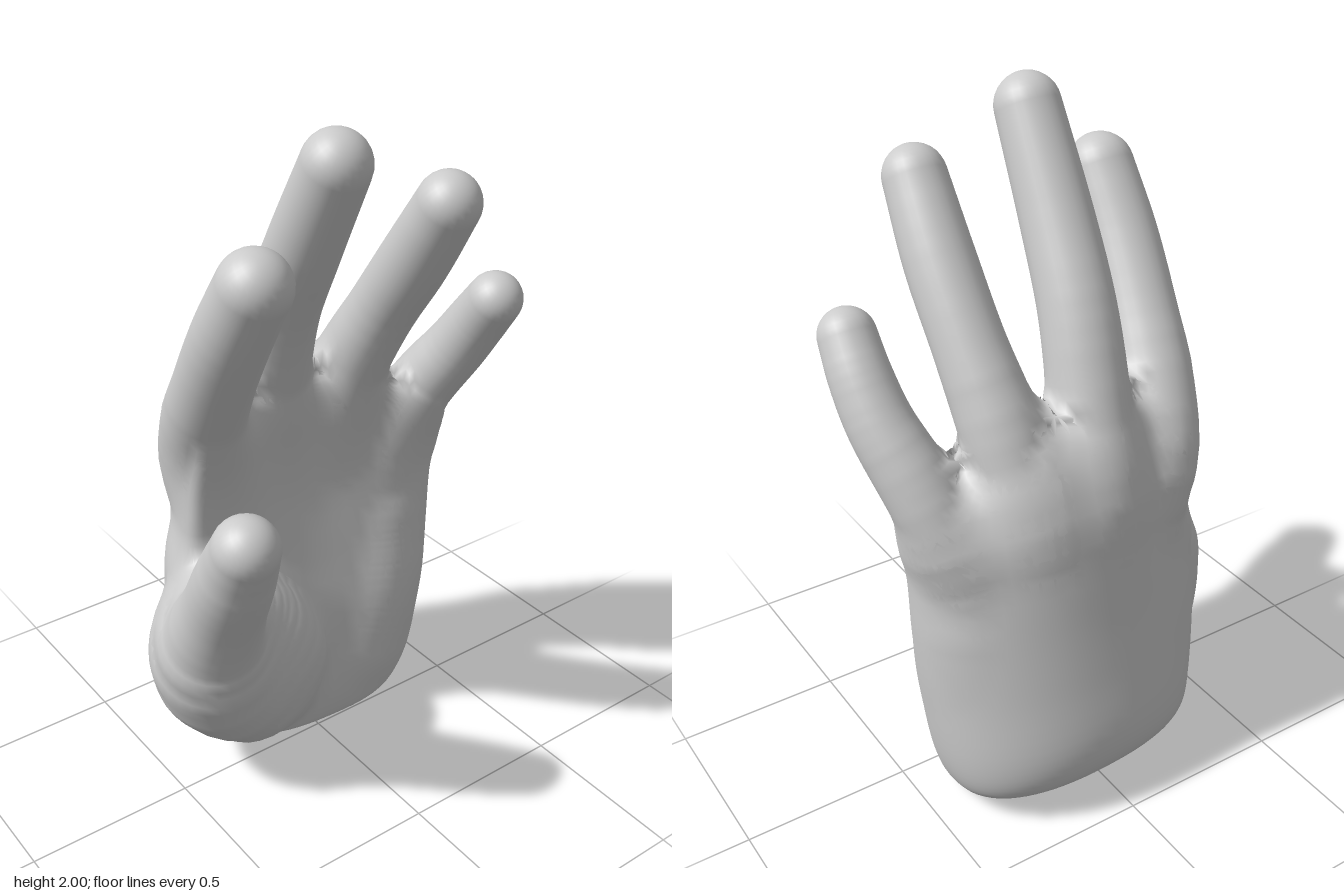
import * as THREE from 'three';

const material = new THREE.MeshStandardMaterial({ color: 0xcccccc });
const V = (x, y, z) => new THREE.Vector3(x, y, z);
const curveOf = points => new THREE.CatmullRomCurve3(points, false, 'catmullrom');

// Skin closed rings of points into one capped surface.
function loft(rings) {
  const n = rings[0].length, pos = [], index = [];
  rings.forEach(r => r.forEach(p => pos.push(p.x, p.y, p.z)));
  for (let i = 0; i < rings.length - 1; i++) {
    for (let j = 0; j < n; j++) {
      const a = i * n + j, b = i * n + (j + 1) % n;
      index.push(a, b, a + n, b, b + n, a + n);
    }
  }
  const cap = (i, end) => {
    const c = V(0, 0, 0), id = pos.length / 3;
    rings[i].forEach(p => c.addScaledVector(p, 1 / n));
    pos.push(c.x, c.y, c.z);
    for (let j = 0; j < n; j++) {
      const a = i * n + j, b = i * n + (j + 1) % n;
      if (end) index.push(id, a, b); else index.push(id, b, a);
    }
  };
  cap(0, false);
  cap(rings.length - 1, true);
  const g = new THREE.BufferGeometry();
  g.setAttribute('position', new THREE.Float32BufferAttribute(pos, 3));
  g.setIndex(index);
  return g;
}

// Tapered limb through [x, y, z, radius] points with a rounded tip:
// its surface, and its distance field for blending.
function limb(points, sides = 28, steps = 36) {
  const path = curveOf(points.map(p => V(p[0], p[1], p[2])));
  const size = curveOf(points.map(p => V(p[3], 0, 0)));
  const rings = [];
  const addRing = (t, r, push) => {
    const T = path.getTangent(t), c = path.getPoint(t).addScaledVector(T, push);
    const S = V(1, 0, 0).addScaledVector(T, -T.x).normalize(), B = V().crossVectors(T, S);
    rings.push(Array.from({ length: sides }, (_, j) => {
      const a = j / sides * Math.PI * 2;
      return c.clone().addScaledVector(S, r * Math.cos(a)).addScaledVector(B, r * Math.sin(a));
    }));
  };
  for (let i = 0; i <= steps; i++) addRing(i / steps, size.getPoint(i / steps).x, 0);
  const tip = points[points.length - 1][3];
  for (let i = 1; i <= 8; i++) {
    const a = i / 8.2 * Math.PI / 2;
    addRing(1, tip * Math.cos(a), tip * Math.sin(a));
  }
  const nodes = path.getPoints(16), radii = size.getPoints(16).map(p => p.x);
  const field = (x, y, z) => {
    let best = Infinity;
    for (let i = 0; i < 16; i++) {
      const a = nodes[i], b = nodes[i + 1];
      const dx = b.x - a.x, dy = b.y - a.y, dz = b.z - a.z, px = x - a.x, py = y - a.y, pz = z - a.z;
      const h = Math.min(1, Math.max(0, (px * dx + py * dy + pz * dz) / (dx * dx + dy * dy + dz * dz)));
      const ex = px - dx * h, ey = py - dy * h, ez = pz - dz * h;
      best = Math.min(best, Math.sqrt(ex * ex + ey * ey + ez * ez) - radii[i] - (radii[i + 1] - radii[i]) * h);
    }
    return best;
  };
  return { geometry: loft(rings), field };
}

// Palm: arched sections [y, centre x, half width, centre z, half depth, forward bend of the edges].
function palm() {
  const sections = [
    [0.00, 0.06, 0.25, -0.20, 0.13, 0.00],
    [0.01, 0.05, 0.33, -0.205, 0.20, 0.01],
    [0.06, 0.04, 0.385, -0.215, 0.235, 0.02],
    [0.18, 0.04, 0.415, -0.215, 0.245, 0.04],
    [0.40, 0.03, 0.445, -0.21, 0.22, 0.07],
    [0.60, 0.03, 0.455, -0.22, 0.185, 0.10],
    [0.80, 0.04, 0.445, -0.23, 0.155, 0.13],
    [0.95, 0.05, 0.445, -0.225, 0.14, 0.14],
    [1.08, 0.05, 0.41, -0.20, 0.115, 0.13],
    [1.15, 0.03, 0.35, -0.18, 0.08, 0.10],
    [1.19, 0.03, 0.24, -0.17, 0.03, 0.06],
  ];
  const top = 1.19, count = 50;
  const lower = curveOf(sections.map(s => V(s[0], s[1], s[2]))).getPoints(count);
  const upper = curveOf(sections.map(s => V(s[3], s[4], s[5]))).getPoints(count);
  // slanted wrist cut, and a lower web beside the little finger
  const slant = (x, y, z) => (0.25 * (-z - 0.05) + 0.06 * (0.2 - x)) * Math.max(0, 1 - y / 0.8)
    - 0.5 * Math.max(0, x - 0.15) * (Math.max(0, y) / 1.2) ** 3;
  const power = v => Math.sign(v) * Math.abs(v) ** 0.8;
  const rings = lower.map((a, i) => Array.from({ length: 72 }, (_, j) => {
    const t = j / 72 * Math.PI * 2, u = power(Math.cos(t)), b = upper[i];
    const x = a.y + a.z * u, z = b.x - b.y * power(Math.sin(t)) + b.z * u * u;
    return V(x, a.x + slant(x, a.x, z), z);
  }));
  const field = (x, y, z) => {
    let s = y;
    for (let i = 0; i < 6; i++) s = y - slant(x, s, z);
    let i = 0;
    while (i < count - 1 && lower[i + 1].x < s) i++;
    const f = Math.min(1, Math.max(0, (s - lower[i].x) / (lower[i + 1].x - lower[i].x)));
    const mix = (list, key) => list[i][key] + (list[i + 1][key] - list[i][key]) * f;
    const w = mix(lower, 'z'), h = mix(upper, 'y'), u = (x - mix(lower, 'y')) / w;
    const v = (z - mix(upper, 'x') - mix(upper, 'z') * Math.min(1.4, u * u)) / h;
    const q = (Math.abs(u) ** 2.5 + Math.abs(v) ** 2.5) ** 0.4;
    return Math.max(q * (q - 1) / (Math.hypot(u / w, v / h) + 1e-6), -s, s - top);
  };
  return { geometry: loft(rings), field };
}

// Move a part's vertices onto the smooth union of all parts, so the joints flow together.
function blend(geometry, field) {
  const pos = geometry.attributes.position, normals = [], e = 0.004;
  const p = V(), g = V();
  const slope = () => g.set(
    field(p.x + e, p.y, p.z) - field(p.x - e, p.y, p.z),
    field(p.x, p.y + e, p.z) - field(p.x, p.y - e, p.z),
    field(p.x, p.y, p.z + e) - field(p.x, p.y, p.z - e)).divideScalar(2 * e);
  for (let i = 0; i < pos.count; i++) {
    p.fromBufferAttribute(pos, i);
    if (field(p.x, p.y, p.z) > -0.09) { // deeper vertices stay buried
      for (let k = 0; k < 5; k++) {
        const d = field(p.x, p.y, p.z);
        if (Math.abs(d) < 0.0005) break;
        const step = d / Math.max(0.2, slope().length());
        p.addScaledVector(g.normalize(), -Math.min(0.04, Math.max(-0.04, step)));
      }
      pos.setXYZ(i, p.x, p.y, p.z);
    }
    slope().normalize();
    normals.push(g.x, g.y, g.z);
  }
  geometry.setAttribute('normal', new THREE.Float32BufferAttribute(normals, 3));
}

export function createModel() {
  const parts = {
    palm: palm(),
    // Fingers, from inside the palm to the centre of the rounded tip
    indexFinger: limb([[-0.2, 0.75, -0.2, 0.09], [-0.26, 0.95, -0.195, 0.125], [-0.315, 1.15, -0.10, 0.12],
      [-0.345, 1.32, 0.01, 0.11], [-0.365, 1.5, 0.13, 0.105], [-0.367, 1.675, 0.245, 0.098]]),
    middleFinger: limb([[-0.02, 0.75, -0.24, 0.09], [-0.035, 0.97, -0.23, 0.12], [-0.05, 1.2, -0.165, 0.115],
      [-0.07, 1.43, -0.075, 0.108], [-0.085, 1.65, 0.05, 0.102], [-0.092, 1.908, 0.198, 0.092]]),
    ringFinger: limb([[0.16, 0.75, -0.23, 0.08], [0.18, 0.95, -0.205, 0.115], [0.21, 1.18, -0.125, 0.112],
      [0.23, 1.38, -0.01, 0.1], [0.235, 1.57, 0.12, 0.098], [0.228, 1.76, 0.25, 0.088]]),
    littleFinger: limb([[0.32, 0.72, -0.18, 0.07], [0.39, 0.9, -0.145, 0.1], [0.445, 1.07, -0.065, 0.1],
      [0.485, 1.2, 0.02, 0.092], [0.498, 1.31, 0.095, 0.086], [0.495, 1.402, 0.165, 0.08]]),
    // Thumb, and the web of skin behind it
    thumb: limb([[-0.15, 0.21, -0.05, 0.1], [-0.25, 0.27, -0.01, 0.17], [-0.38, 0.43, 0.03, 0.19],
      [-0.435, 0.6, 0.105, 0.145], [-0.46, 0.76, 0.2, 0.118], [-0.48, 0.91, 0.29, 0.108],
      [-0.5, 1.062, 0.38, 0.09]]),
    thumbWeb: limb([[-0.36, 0.35, -0.07, 0.14], [-0.39, 0.52, -0.04, 0.135], [-0.35, 0.63, -0.06, 0.105],
      [-0.28, 0.71, -0.15, 0.11]]),
    // Fleshy pads at the base of the palm
    thumbPad: limb([[-0.15, 0.23, -0.04, 0.13], [-0.19, 0.38, -0.005, 0.18], [-0.28, 0.54, 0.01, 0.15],
      [-0.36, 0.64, 0.03, 0.1]]),
    heelPad: limb([[0.2, 0.2, -0.1, 0.12], [0.28, 0.4, -0.13, 0.14], [0.32, 0.6, -0.15, 0.11]]),
  };

  const fields = Object.values(parts).map(part => part.field), soft = 0.07;
  const union = (x, y, z) => fields.reduce((a, f) => {
    const b = f(x, y, z), h = Math.max(0, soft - Math.abs(a - b));
    return Math.min(a, b) - h * h / (4 * soft);
  }, 10);

  const hand = new THREE.Group();
  hand.name = 'hand';
  for (const [name, { geometry }] of Object.entries(parts)) {
    blend(geometry, union);
    const mesh = new THREE.Mesh(geometry, material);
    mesh.name = name;
    hand.add(mesh);
  }
  return hand;
}
